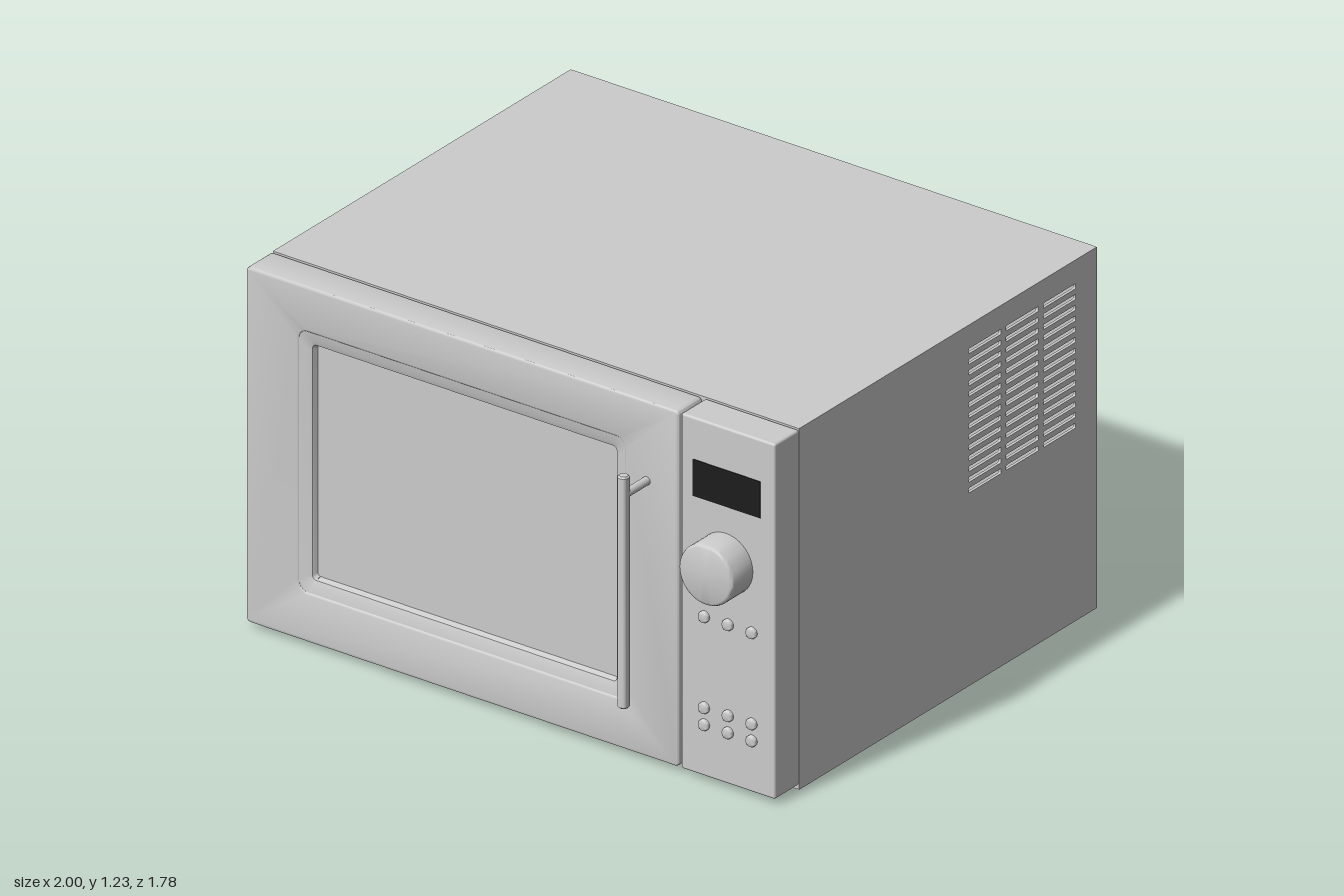
import * as THREE from 'three';
import { RoundedBoxGeometry } from 'three/addons/geometries/RoundedBoxGeometry.js';
import { toCreasedNormals } from 'three/addons/utils/BufferGeometryUtils.js';

const grey = new THREE.MeshStandardMaterial({ color: 0xcccccc });
const greyThin = new THREE.MeshStandardMaterial({ color: 0xcccccc, side: THREE.DoubleSide });
const black = new THREE.MeshStandardMaterial({ color: 0x1c1c1c });

function add(parent, name, geometry, x = 0, y = 0, z = 0, material = grey) {
  const mesh = new THREE.Mesh(geometry, material);
  mesh.name = name;
  mesh.position.set(x, y, z);
  parent.add(mesh);
  return mesh;
}

// Box given by its limits, with optional rounded edges
function boxBetween(parent, name, [x0, x1], [y0, y1], [z0, z1], radius = 0, material = grey) {
  const size = [x1 - x0, y1 - y0, z1 - z0];
  const geometry = radius ? new RoundedBoxGeometry(...size, 3, radius) : new THREE.BoxGeometry(...size);
  return add(parent, name, geometry, (x0 + x1) / 2, (y0 + y1) / 2, (z0 + z1) / 2, material);
}

// Rounded rectangle drawn into a Shape or Path
function roundRect(path, x0, x1, y0, y1, r) {
  path.moveTo(x0 + r, y0).lineTo(x1 - r, y0).absarc(x1 - r, y0 + r, r, -Math.PI / 2, 0, false);
  path.lineTo(x1, y1 - r).absarc(x1 - r, y1 - r, r, 0, Math.PI / 2, false);
  path.lineTo(x0 + r, y1).absarc(x0 + r, y1 - r, r, Math.PI / 2, Math.PI, false);
  path.lineTo(x0, y0 + r).absarc(x0 + r, y0 + r, r, Math.PI, Math.PI * 1.5, false);
  return path;
}

// Round part turned about the z axis, with a softened front edge
function turnedKnob(radius, depth, soft, segments) {
  const profile = [[0, 0], [radius, 0], [radius, depth - soft],
    [radius - soft * 0.3, depth - soft * 0.3], [radius - soft, depth], [0, depth]];
  const geometry = new THREE.LatheGeometry(profile.map(p => new THREE.Vector2(...p)), segments);
  return toCreasedNormals(geometry.rotateX(Math.PI / 2), 0.9);
}

// Sheet metal side with three columns of ventilation slots
function sidePanel() {
  const shape = roundRect(new THREE.Shape(), -0.89, 0.625, 0, 1.23, 0.002);
  for (const z of [-0.32, -0.51, -0.70]) {
    for (let row = 0; row < 14; row++) {
      const y = 0.666 + row * 0.0365;
      shape.holes.push(roundRect(new THREE.Path(), z - 0.082, z + 0.082, y - 0.0085, y + 0.0085, 0.004));
    }
  }
  const geometry = new THREE.ExtrudeGeometry(shape, { depth: 0.01, bevelEnabled: false, curveSegments: 2 });
  return geometry.rotateY(-Math.PI / 2);
}

// Nested rounded rectangles at stepped depths, forming the window surround
function windowSurround(steps) {
  const positions = [], index = [];
  let count = 0;
  for (const [x0, x1, y0, y1, r, z] of steps) {
    const pts = roundRect(new THREE.Path(), x0, x1, y0, y1, r).getPoints(5);
    count = pts.length;
    for (const p of pts) positions.push(p.x, p.y, z);
  }
  for (let s = 0; s < steps.length - 1; s++) {
    for (let i = 0; i < count; i++) {
      const a = s * count + i, b = s * count + (i + 1) % count;
      index.push(a, b, b + count, a, b + count, a + count);
    }
  }
  const geometry = new THREE.BufferGeometry();
  geometry.setAttribute('position', new THREE.Float32BufferAttribute(positions, 3));
  geometry.setIndex(index);
  return toCreasedNormals(geometry, 0.5);
}

function createBody() {
  const body = new THREE.Group();
  body.name = 'body';
  const side = sidePanel();
  add(body, 'rightSidePanel', side, -0.985, 0, 0, greyThin);
  add(body, 'leftSidePanel', side, 0.995, 0, 0, greyThin);
  const width = [-0.985, 0.985], depth = [-0.89, 0.625];
  boxBetween(body, 'topPanel', width, [1.22, 1.23], depth);
  boxBetween(body, 'bottomPanel', width, [0, 0.01], depth);
  boxBetween(body, 'backPanel', width, [0.01, 1.22], [-0.89, -0.88]);
  boxBetween(body, 'frontPlate', width, [0.01, 1.22], [0.61, 0.625]);
  boxBetween(body, 'ovenCavity', [-0.86, 0.5], [0.12, 1.085], [-0.58, 0.61]);
  return body;
}

function createDoor() {
  const door = new THREE.Group();
  door.name = 'door';
  // Frame with an opening for the window
  const bevel = 0.008;
  const shape = roundRect(new THREE.Shape(), -1 + bevel, 0.635 - bevel, 0.02 + bevel, 1.23 - bevel, 0.006);
  shape.holes.push(roundRect(new THREE.Path(), -0.808, 0.438, 0.182, 1.083, 0.04));
  const frame = new THREE.ExtrudeGeometry(shape, {
    depth: 0.125 - 2 * bevel, bevelSize: bevel, bevelThickness: bevel, bevelSegments: 3, curveSegments: 5,
  });
  add(door, 'doorFrame', toCreasedNormals(frame, 0.6), 0, 0, 0.63 + bevel);
  // Shallow slope, then a short step down to the glass
  add(door, 'windowSurround', windowSurround([
    [-0.812, 0.442, 0.178, 1.087, 0.044, 0.753],
    [-0.775, 0.41, 0.215, 1.05, 0.03, 0.748],
    [-0.758, 0.393, 0.232, 1.033, 0.014, 0.742],
    [-0.75, 0.385, 0.24, 1.025, 0.01, 0.722],
  ]), 0, 0, 0, greyThin);
  boxBetween(door, 'windowGlass', [-0.77, 0.405], [0.22, 1.045], [0.70, 0.724]);
  boxBetween(door, 'doorBack', [-0.83, 0.46], [0.16, 1.1], [0.632, 0.70]);
  // Upright bar handle on its post
  const handle = new THREE.Group();
  handle.name = 'handle';
  const bar = [[0, 0], [0.014, 0], [0.019, 0.005], [0.019, 0.785], [0.014, 0.79], [0, 0.79]];
  const barGeometry = new THREE.LatheGeometry(bar.map(p => new THREE.Vector2(...p)), 24);
  add(handle, 'handleBar', toCreasedNormals(barGeometry, 0.6), 0.515, 0.237, 0.872);
  const post = new THREE.CylinderGeometry(0.014, 0.014, 0.125, 20).rotateX(Math.PI / 2);
  add(handle, 'handlePost', post, 0.515, 0.96, 0.81);
  door.add(handle);
  // Catches bridging the gap to the control panel
  for (const y of [0.21, 1.05]) boxBetween(door, 'doorCatch', [0.63, 0.644], [y - 0.012, y + 0.012], [0.66, 0.70]);
  return door;
}

function createControls() {
  const controls = new THREE.Group();
  controls.name = 'controls';
  boxBetween(controls, 'controlPanel', [0.645, 1], [0.02, 1.23], [0.63, 0.755], 0.008);
  boxBetween(controls, 'display', [0.69, 0.946], [0.963, 1.088], [0.74, 0.757], 0, black);
  add(controls, 'dial', turnedKnob(0.102, 0.11, 0.01, 48), 0.815, 0.77, 0.75);
  const button = turnedKnob(0.019, 0.018, 0.004, 20);
  for (const y of [0.565, 0.255, 0.197]) {
    for (const x of [0.735, 0.825, 0.915]) add(controls, 'button', button, x, y, 0.75);
  }
  return controls;
}

export function createModel() {
  const model = new THREE.Group();
  model.name = 'microwaveOven';
  model.add(createBody(), createDoor(), createControls());
  return model;
}
